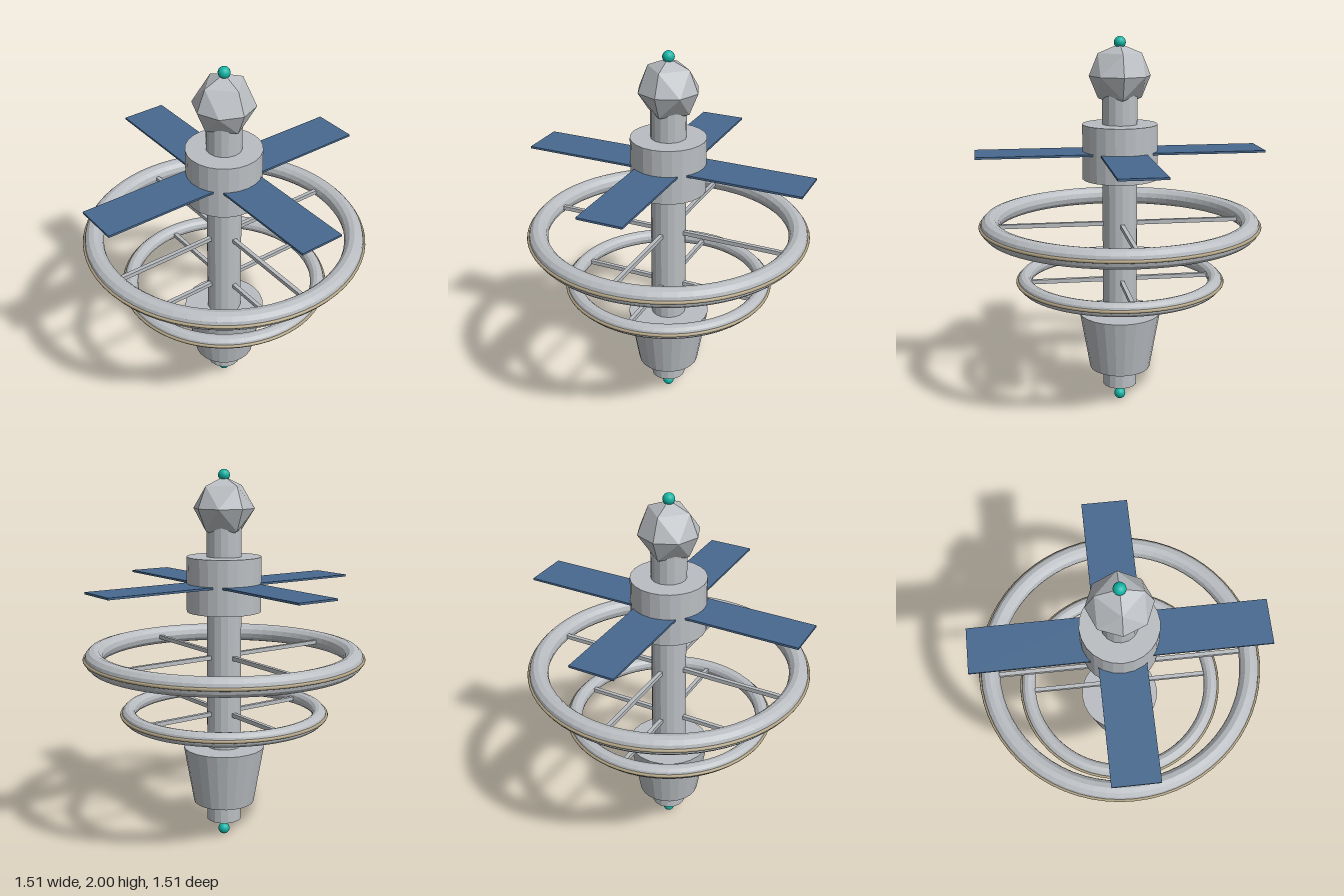
import * as THREE from 'three';

const mat = (name, color, flatShading = false) => {
  const m = new THREE.MeshStandardMaterial({ color, flatShading });
  m.name = name;
  return m;
};

export function createModel() {
  const hull = mat('hull grey', 0xbabec2, true);
  const panelBlue = mat('panel blue', 0x47698f);
  const trimTan = mat('trim tan', 0xb0a284);
  const beaconTeal = mat('beacon teal', 0x12b5a6);

  const model = new THREE.Group();
  model.name = 'spaceStation';

  const add = (name, geometry, material, y = 0, parent = model) => {
    const mesh = new THREE.Mesh(geometry, material);
    mesh.name = name;
    mesh.position.y = y;
    parent.add(mesh);
    return mesh;
  };

  // Cylinder given by its bottom and top heights
  const drum = (name, rTop, rBottom, y0, y1, sides) =>
    add(name, new THREE.CylinderGeometry(rTop, rBottom, y1 - y0, sides), hull, (y0 + y1) / 2);

  // Four copies of a box reaching outwards along the x and z axes
  const cross = (name, r0, r1, height, width, material, y, parent) => {
    for (let i = 0; i < 4; i++) {
      const geometry = new THREE.BoxGeometry(r1 - r0, height, width);
      geometry.translate((r0 + r1) / 2, 0, 0).rotateY((i * Math.PI) / 2);
      add(name, geometry, material, y, parent);
    }
  };

  // Central body
  drum('spine', 0.093, 0.093, 0.095, 1.72, 16);
  drum('engineBell', 0.22, 0.165, 0.2, 0.515, 24);
  drum('hub', 0.198, 0.198, 1.26, 1.55, 24);
  add('faceted dome', new THREE.OctahedronGeometry(0.162, 1), hull, 1.8);

  // Solar panels
  cross('solarPanel', 0.1, 0.757, 0.011, 0.24, panelBlue, 1.405, model);

  // Habitat rings with trim bands and spokes
  const ring = (name, y, radius, tube) => {
    const group = new THREE.Group();
    group.name = name;
    group.position.y = y;
    model.add(group);
    add('ringTube', new THREE.TorusGeometry(radius, tube, 12, 64).rotateX(Math.PI / 2), hull, 0, group);
    add('ringTrim', new THREE.TorusGeometry(radius + tube, 0.009, 8, 64).rotateX(Math.PI / 2),
      trimTan, 0, group);
    cross('spoke', 0.08, radius, 0.022, 0.022, hull, 0, group);
  };
  ring('upperRing', 1.017, 0.692, 0.051);
  ring('lowerRing', 0.706, 0.515, 0.038);

  // Beacons at both ends
  for (const [name, y] of [['lowerBeacon', 0.031], ['upperBeacon', 1.969]]) {
    add(name, new THREE.SphereGeometry(0.031, 16, 12), beaconTeal, y);
  }

  return model;
}
